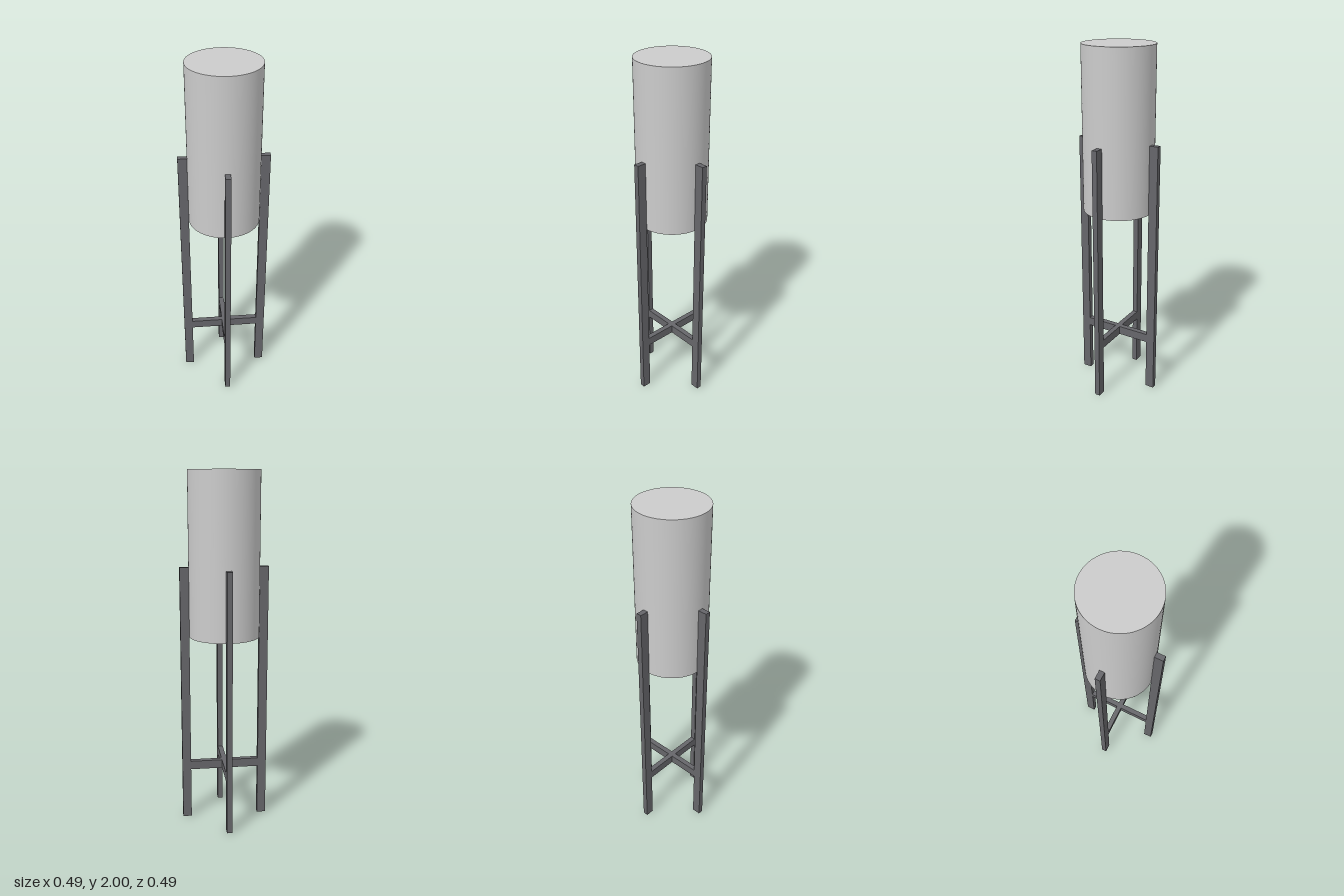
import * as THREE from 'three';

export function createModel() {
  const model = new THREE.Group();
  const potMaterial = new THREE.MeshStandardMaterial({ color: 0xcccccc });
  const standMaterial = new THREE.MeshStandardMaterial({ color: 0x66666a });

  const potRadius = 0.197, potBottom = 1.095, potTop = 2;
  const legHeight = 1.485, legDepth = 0.05, barWidth = 0.03;

  function add(name, geometry, material, parent = model) {
    const mesh = new THREE.Mesh(geometry, material);
    mesh.name = name;
    parent.add(mesh);
    return mesh;
  }

  // Tall closed cylinder held between the legs
  const potHeight = potTop - potBottom;
  add('cylinderBody', new THREE.CylinderGeometry(potRadius, potRadius, potHeight, 96), potMaterial)
    .position.y = potBottom + potHeight / 2;

  // Four upright legs touching the cylinder's side
  const stand = new THREE.Group();
  stand.name = 'stand';
  model.add(stand);
  const legGeometry = new THREE.BoxGeometry(legDepth, legHeight, barWidth);
  ['leftLeg', 'backLeg', 'rightLeg', 'frontLeg'].forEach((name, i) => {
    const angle = i * Math.PI / 2;
    const r = potRadius + legDepth / 2;
    const leg = add(name, legGeometry, standMaterial, stand);
    leg.position.set(r * Math.cos(angle), legHeight / 2, -r * Math.sin(angle));
    leg.rotation.y = angle;
  });

  // Crossed braces joining opposite legs
  const braceGeometry = new THREE.BoxGeometry(potRadius * 2, 0.05, barWidth);
  ['sideBrace', 'frontBackBrace'].forEach((name, i) => {
    const brace = add(name, braceGeometry, standMaterial, stand);
    brace.position.y = 0.325;
    brace.rotation.y = i * Math.PI / 2;
  });

  return model;
}
